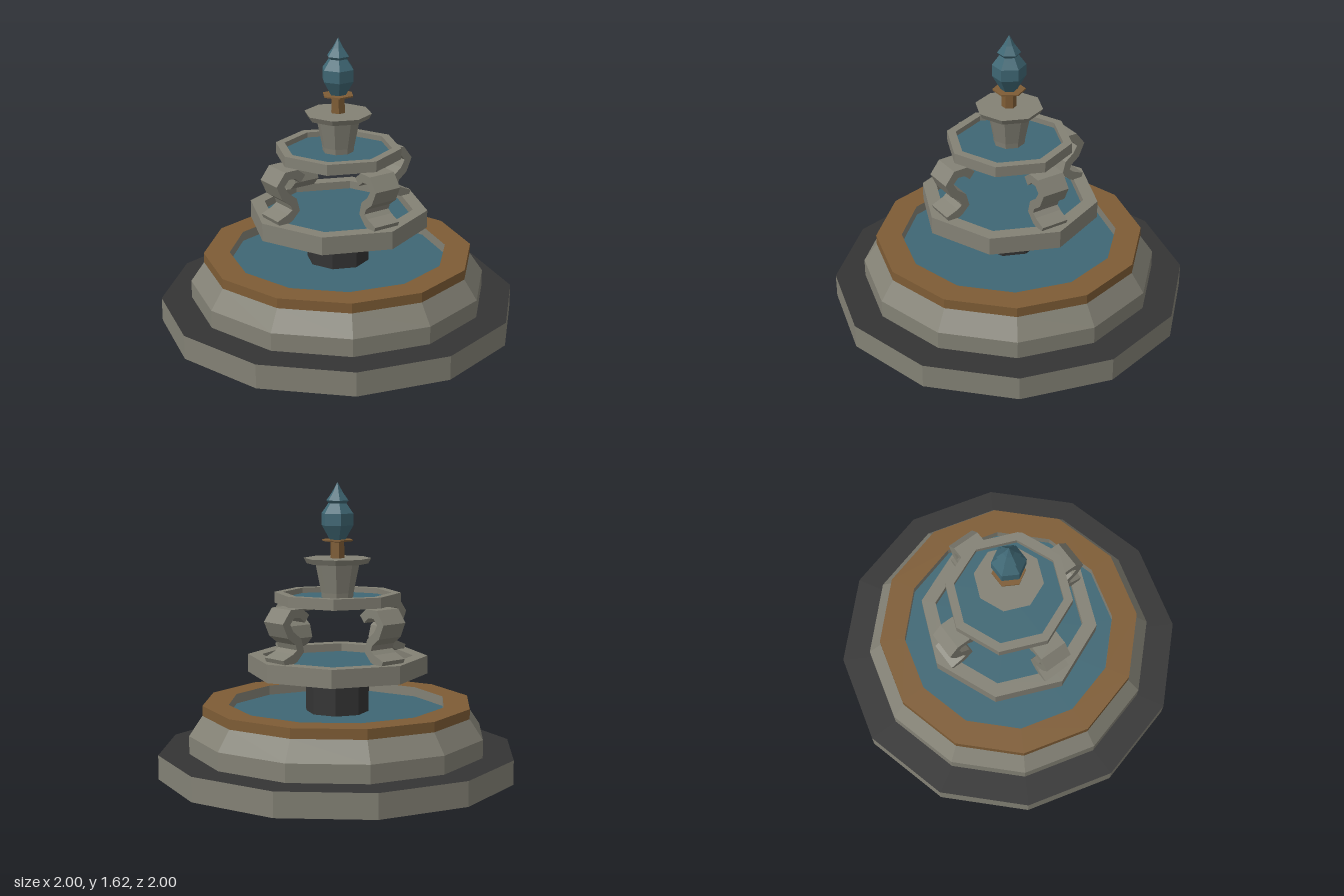
import * as THREE from 'three';

// Shells are open in places, so every colour shows from both sides
const mat = (name, color) => {
  const m = new THREE.MeshStandardMaterial({ color, flatShading: true, side: THREE.DoubleSide });
  m.name = name;
  return m;
};

export function createModel() {
  const stone = mat('stone', 0x838175);
  const dark = mat('dark slate', 0x343434);
  const bronze = mat('bronze', 0x7e5c35);
  const water = mat('water teal', 0x3f6774);
  const fountain = new THREE.Group();
  fountain.name = 'fountain';

  const add = (name, geometry, material, parent = fountain) => {
    const mesh = new THREE.Mesh(geometry, material);
    mesh.name = name;
    parent.add(mesh);
    return mesh;
  };
  // Faceted turned part from [radius, height] pairs, listed bottom to top on the outside
  const turned = (name, profile, sides, material) => add(name,
    new THREE.LatheGeometry(profile.map(([r, y]) => new THREE.Vector2(r, y)), sides), material);
  // Flat disc facing up
  const disc = (name, r, y, sides, material) => turned(name, [[r, y], [0, y]], sides, material);

  // Base step: stone wall under a dark top, hollow and open below
  turned('baseWall', [[1, 0], [1, 0.135]], 12, stone);
  disc('baseTop', 1, 0.135, 12, dark);

  // Main basin with a bronze rim and stone inner wall
  turned('basin', [[0.83, 0.135], [0.83, 0.235], [0.755, 0.345]], 12, stone);
  turned('basinRim', [[0.755, 0.345], [0.755, 0.4], [0.61, 0.4]], 12, bronze);
  turned('basinInnerWall', [[0.61, 0.4], [0.61, 0.345]], 12, stone);
  disc('basinWater', 0.61, 0.345, 12, water);

  // Pillar and lower bowl
  turned('pillar', [[0.175, 0.345], [0.175, 0.56]], 8, dark);
  turned('lowerBowl', [[0, 0.56], [0.5, 0.56], [0.5, 0.66], [0.42, 0.66], [0.42, 0.615]], 8, stone);
  disc('lowerWater', 0.42, 0.615, 8, water);

  // Upper bowl, open beneath its water
  turned('upperBowl', [[0.3, 0.95], [0.35, 0.95], [0.35, 1.01], [0.3, 1.01], [0.3, 0.95]], 8, stone);
  disc('upperWater', 0.3, 0.98, 8, water);

  // Four scrolled brackets carrying the upper bowl: a ribbon around a centre line
  const path = [[0.288, 0.895], [0.328, 0.928], [0.388, 0.928], [0.43, 0.875], [0.4, 0.815],
    [0.348, 0.775], [0.333, 0.725], [0.37, 0.69], [0.442, 0.66]].map(p => new THREE.Vector2(...p));
  const side = s => path.map((p, i) => {
    const a = path[Math.max(i - 1, 0)], b = path[Math.min(i + 1, path.length - 1)];
    const d = b.clone().sub(a).normalize();
    return new THREE.Vector2(p.x - d.y * s, p.y + d.x * s);
  });
  const ribbon = new THREE.ExtrudeGeometry(
    new THREE.Shape([...side(0.025), ...side(-0.025).reverse()]),
    { depth: 0.16, bevelEnabled: false });
  ribbon.translate(0, 0, -0.08);
  const brackets = new THREE.Group();
  brackets.name = 'brackets';
  fountain.add(brackets);
  for (let i = 0; i < 4; i++) {
    add('bracket', ribbon, stone, brackets).rotation.y = i * Math.PI / 2;
  }

  // Flared cup
  turned('cup', [[0, 0.965], [0.085, 0.965], [0.09, 1.01], [0.122, 1.17], [0.17, 1.17],
    [0.187, 1.2], [0, 1.2]], 8, stone);

  // Bronze stem and collar, then the finial, all six-sided
  const top = [
    turned('stem', [[0.041, 1.2], [0.039, 1.288], [0.09, 1.294], [0.09, 1.302], [0, 1.302]], 6, bronze),
    turned('finial', [[0, 1.3], [0.045, 1.3], [0.092, 1.38], [0.092, 1.445], [0.052, 1.5],
      [0.064, 1.515], [0.031, 1.56], [0, 1.615]], 6, water),
  ];
  top.forEach(m => { m.rotation.y = Math.PI / 6; });

  return fountain;
}
